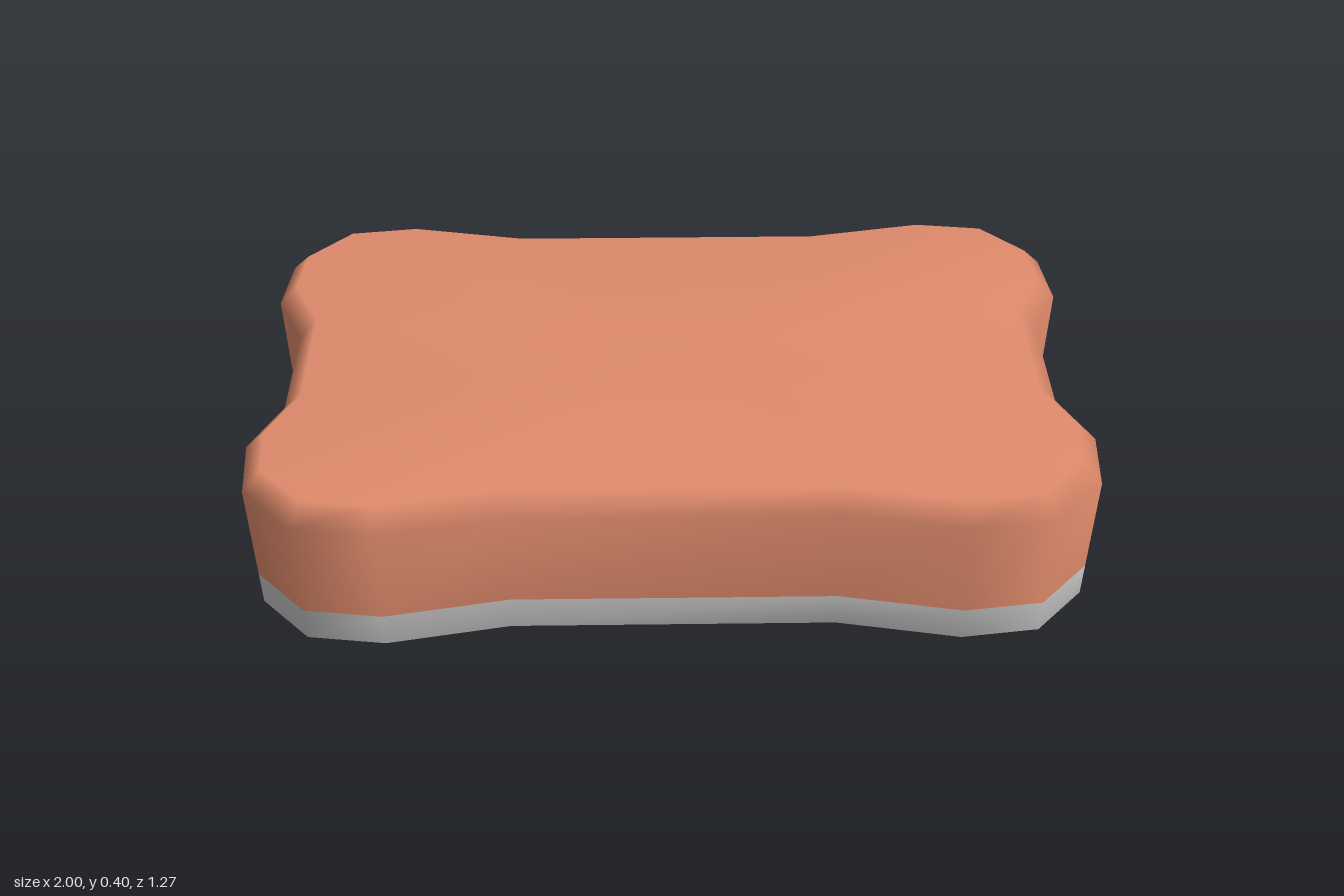
import * as THREE from 'three';

// One quarter of the plan outline (x, z), mirrored into a closed loop
const quarter = [[0.93, 0.15], [1, 0.305], [0.985, 0.475], [0.86, 0.61], [0.67, 0.635], [0.38, 0.58]];
const mirror = (points, sx, sz) => points.map(([x, z]) => new THREE.Vector2(x * sx, z * sz));
const reversed = [...quarter].reverse();
const outline = [
  ...mirror(quarter, 1, 1), ...mirror(reversed, -1, 1),
  ...mirror(quarter, -1, -1), ...mirror(reversed, 1, -1),
];

// Moves every edge of the outline inwards by the same distance
function insetOutline(distance) {
  const n = outline.length;
  return outline.map((p, i) => {
    const a = p.clone().sub(outline[(i + n - 1) % n]).normalize();
    const b = outline[(i + 1) % n].clone().sub(p).normalize();
    const normalA = new THREE.Vector2(-a.y, a.x);
    const normalB = new THREE.Vector2(-b.y, b.x);
    const miter = normalA.clone().add(normalB).normalize();
    return p.clone().addScaledVector(miter, distance / miter.dot(normalA));
  });
}

// Lofts levels of [y, inset] from bottom to top, closing one end with a fan
function loft(levels, capTop) {
  const n = outline.length;
  const positions = [], index = [];
  for (const [y, inset] of levels) {
    for (const p of insetOutline(inset)) positions.push(p.x, y, p.y);
  }
  for (let r = 0; r < levels.length - 1; r++) {
    for (let i = 0; i < n; i++) {
      const j = (i + 1) % n;
      const a = r * n + i, b = r * n + j, c = b + n, d = a + n;
      index.push(a, d, b, b, d, c);
    }
  }
  const capLevel = capTop ? levels.length - 1 : 0;
  const centre = positions.length / 3;
  positions.push(0, levels[capLevel][0], 0);
  for (let i = 0; i < n; i++) {
    const a = capLevel * n + i, b = capLevel * n + (i + 1) % n;
    if (capTop) index.push(centre, b, a);
    else index.push(centre, a, b);
  }
  const geometry = new THREE.BufferGeometry();
  geometry.setAttribute('position', new THREE.Float32BufferAttribute(positions, 3));
  geometry.setIndex(index);
  geometry.computeVertexNormals();
  return geometry;
}

export function createModel() {
  const group = new THREE.Group();
  group.name = 'biscuitBlock';

  // Grey base with a small chamfer underneath
  const base = new THREE.Mesh(
    loft([[0, 0.035], [0.02, 0.012], [0.105, 0.009]], false),
    new THREE.MeshStandardMaterial({ color: 0xcccccc }),
  );
  base.name = 'base';

  // Coloured upper body, flaring slightly up to a chamfered top
  const body = new THREE.Mesh(
    loft([[0.105, 0.009], [0.355, 0], [0.403, 0.045]], true),
    new THREE.MeshStandardMaterial({ color: 0xe08b6c }),
  );
  body.name = 'upperBody';

  group.add(base, body);
  return group;
}
